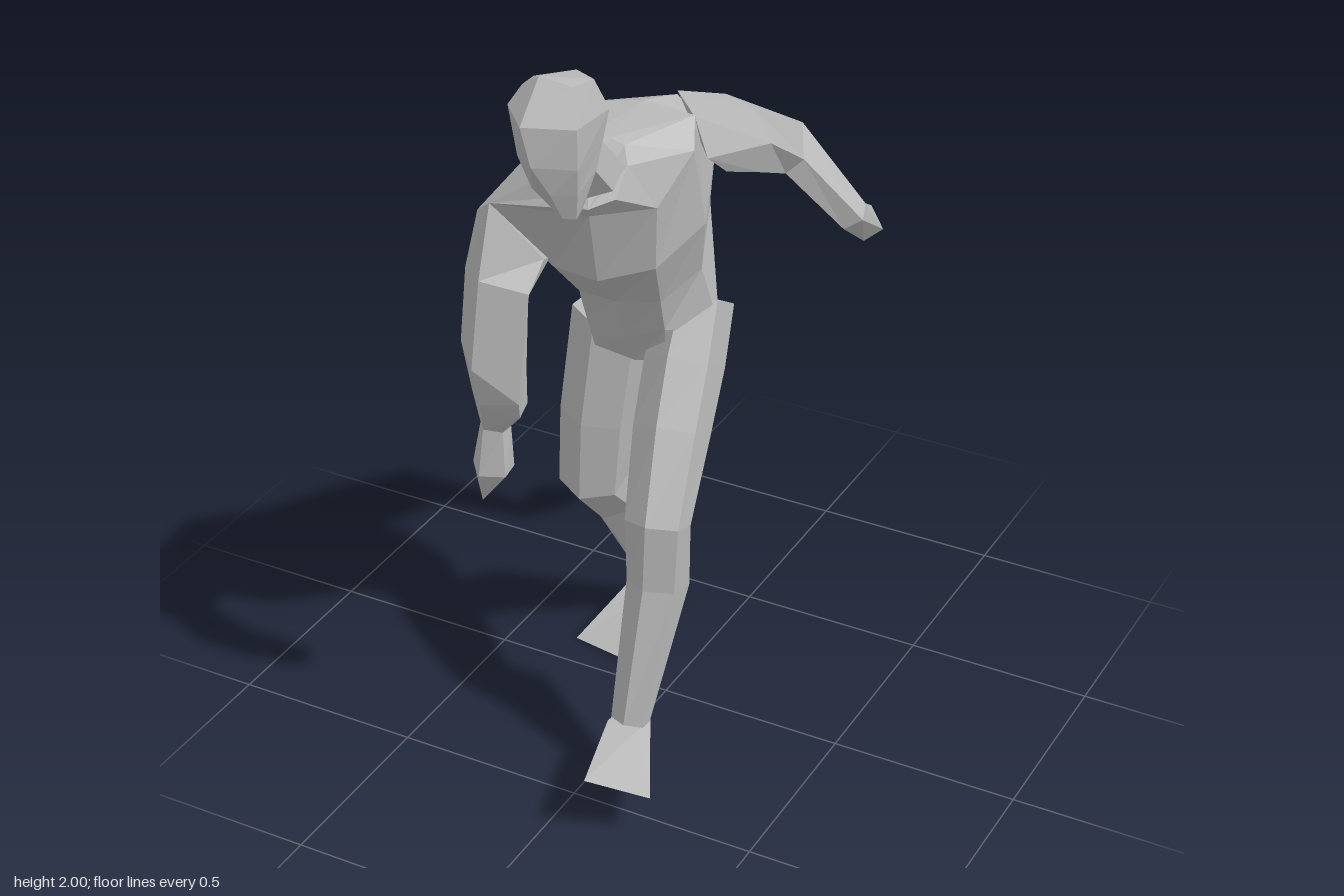
import * as THREE from 'three';

const skin = new THREE.MeshStandardMaterial({ color: 0xb8b8b8, flatShading: true });
skin.name = 'plain grey';

// Skin a stack of equal-sized rings, closing both ends.
function loft(name, rings) {
  const n = rings[0].length, pos = [];
  const tri = (a, b, c) => pos.push(...a, ...b, ...c);
  for (let r = 0; r < rings.length - 1; r++) {
    const a = rings[r], b = rings[r + 1];
    for (let i = 0; i < n; i++) {
      const j = (i + 1) % n;
      tri(a[i], a[j], b[j]);
      tri(a[i], b[j], b[i]);
    }
  }
  const first = rings[0], last = rings[rings.length - 1];
  for (let i = 1; i < n - 1; i++) {
    tri(first[0], first[i + 1], first[i]);
    tri(last[0], last[i], last[i + 1]);
  }
  const geo = new THREE.BufferGeometry();
  geo.setAttribute('position', new THREE.Float32BufferAttribute(pos, 3));
  geo.computeVertexNormals();
  const mesh = new THREE.Mesh(geo, skin);
  mesh.name = name;
  return mesh;
}

// Hexagonal limb along joints [x, y, z, halfWidth, halfDepth], ridged front and back.
function limb(name, joints) {
  const at = joints.map(j => new THREE.Vector3(j[0], j[1], j[2]));
  return loft(name, joints.map(([, , , w, d], k) => {
    const t = at[Math.min(k + 1, at.length - 1)].clone().sub(at[Math.max(k - 1, 0)]).normalize();
    const u = new THREE.Vector3(1, 0, 0).addScaledVector(t, -t.x).normalize();
    const v = t.clone().cross(u);
    return Array.from({ length: 6 }, (_, i) => {
      const a = (i + 0.5) / 3 * Math.PI;
      return at[k].clone().addScaledVector(u, w * Math.cos(a)).addScaledVector(v, d * Math.sin(a)).toArray();
    });
  }));
}

// Ring shrunk to a point, for tips.
const tip = (n, ...p) => Array(n).fill(p);

export function createModel() {
  const group = new THREE.Group();
  group.name = 'walkingFigure';

  // Twisted, forward-leaning torso: rings run front centre, left, back, right.
  group.add(loft('torso', [
    [[-0.06, 1.03, 0.05], [0.03, 1.06, 0.06], [0.12, 1.08, -0.05], [0.04, 1.06, -0.14],
      [-0.06, 1.05, -0.15], [-0.14, 1.06, -0.15], [-0.24, 1.07, -0.05], [-0.17, 1.05, 0.06]],
    [[-0.06, 1.13, 0.11], [0.05, 1.17, 0.1], [0.14, 1.14, -0.02], [0.01, 1.15, -0.165],
      [-0.1, 1.13, -0.2], [-0.19, 1.14, -0.18], [-0.26, 1.12, -0.03], [-0.17, 1.15, 0.1]],
    [[-0.05, 1.26, 0.17], [0.06, 1.27, 0.14], [0.11, 1.32, 0.02], [0.05, 1.42, -0.14],
      [-0.05, 1.42, -0.15], [-0.17, 1.4, -0.1], [-0.24, 1.3, 0.05], [-0.16, 1.25, 0.15]],
    [[-0.02, 1.39, 0.31], [0.1, 1.42, 0.24], [0.15, 1.48, 0.08], [0.1, 1.62, -0.07],
      [0, 1.73, -0.06], [-0.18, 1.6, 0.02], [-0.29, 1.45, 0.18], [-0.14, 1.4, 0.31]],
    [[0, 1.6, 0.38], [0.12, 1.6, 0.27], [0.15, 1.7, 0.14], [0.12, 1.76, 0.08],
      [-0.02, 1.765, 0.07], [-0.17, 1.75, 0.13], [-0.335, 1.515, 0.33], [-0.24, 1.6, 0.43]],
    [[0.02, 1.64, 0.42], [0.07, 1.66, 0.38], [0.07, 1.72, 0.32], [0.04, 1.75, 0.28],
      [0, 1.76, 0.28], [-0.05, 1.76, 0.3], [-0.08, 1.7, 0.35], [-0.06, 1.65, 0.41]],
  ]));

  // Neck and head, rings run front, left, back, right from chin to crown
  group.add(limb('neck', [
    [0, 1.7, 0.355, 0.08, 0.07],
    [-0.015, 1.8, 0.43, 0.068, 0.065],
  ]));
  group.add(loft('head', [
    [[0.01, 1.66, 0.52], [0.035, 1.655, 0.5], [0.035, 1.67, 0.47],
      [0.01, 1.68, 0.46], [-0.03, 1.68, 0.47], [-0.03, 1.67, 0.5]],
    [[0, 1.73, 0.555], [0.05, 1.73, 0.52], [0.055, 1.76, 0.44],
      [0, 1.74, 0.42], [-0.07, 1.75, 0.44], [-0.07, 1.72, 0.52]],
    [[-0.03, 1.81, 0.59], [0.06, 1.8, 0.535], [0.06, 1.82, 0.42],
      [-0.02, 1.79, 0.365], [-0.11, 1.82, 0.42], [-0.1, 1.8, 0.53]],
    [[-0.05, 1.91, 0.6], [0.06, 1.9, 0.535], [0.068, 1.9, 0.4],
      [-0.035, 1.9, 0.355], [-0.13, 1.88, 0.42], [-0.125, 1.92, 0.525]],
    [[-0.05, 2, 0.51], [0.03, 1.985, 0.5], [0.04, 1.975, 0.42],
      [-0.03, 1.965, 0.375], [-0.11, 1.955, 0.43], [-0.1, 1.965, 0.5]],
  ]));

  // Left arm swings back: rings run inner top, outer top, outer, bottom, inner bottom
  group.add(loft('leftArm', [
    [[0, 1.74, -0.06], [0.12, 1.755, 0.08], [0.16, 1.66, 0.09], [0.15, 1.57, -0.03], [0.06, 1.58, -0.08]],
    [[0.04, 1.665, -0.24], [0.14, 1.655, -0.21], [0.185, 1.58, -0.2], [0.16, 1.5, -0.19], [0.07, 1.53, -0.22]],
    [[0.08, 1.54, -0.435], [0.17, 1.545, -0.41], [0.2, 1.47, -0.36], [0.16, 1.43, -0.34], [0.11, 1.45, -0.37]],
    [[0.27, 1.3, -0.475], [0.33, 1.335, -0.455], [0.335, 1.3, -0.43], [0.29, 1.27, -0.415], [0.25, 1.28, -0.44]],
    [[0.23, 1.26, -0.575], [0.3, 1.275, -0.56], [0.34, 1.22, -0.55], [0.3, 1.19, -0.52], [0.235, 1.22, -0.54]],
    tip(5, 0.28, 1.18, -0.64),
  ]));

  // Right arm hangs forward: rings run front, outer, back, inner back, inner front
  group.add(loft('rightArm', [
    [[-0.24, 1.6, 0.43], [-0.335, 1.515, 0.33], [-0.27, 1.44, 0.25], [-0.15, 1.42, 0.31], [-0.13, 1.45, 0.37]],
    [[-0.24, 1.42, 0.49], [-0.325, 1.4, 0.41], [-0.24, 1.4, 0.385], [-0.15, 1.4, 0.41], [-0.12, 1.4, 0.46]],
    [[-0.24, 1.2, 0.535], [-0.32, 1.22, 0.45], [-0.25, 1.2, 0.42], [-0.15, 1.18, 0.43], [-0.12, 1.13, 0.52]],
    [[-0.23, 1.1, 0.52], [-0.28, 1.1, 0.47], [-0.23, 1.09, 0.42], [-0.15, 1.08, 0.43], [-0.13, 1.08, 0.5]],
    [[-0.26, 0.99, 0.46], [-0.285, 0.99, 0.43], [-0.25, 0.99, 0.4], [-0.21, 0.99, 0.41], [-0.21, 0.99, 0.45]],
    [[-0.26, 0.87, 0.487], [-0.31, 0.87, 0.43], [-0.27, 0.87, 0.39], [-0.21, 0.87, 0.4], [-0.2, 0.87, 0.46]],
    tip(5, -0.28, 0.77, 0.44),
  ]));

  // Left leg strides forward, right leg pushes off behind
  group.add(limb('leftLeg', [
    [0.06, 1.19, -0.06, 0.088, 0.105],
    [0.065, 1.05, 0.02, 0.1, 0.11],
    [0.08, 0.9, 0.12, 0.098, 0.098],
    [0.108, 0.71, 0.248, 0.086, 0.07],
    [0.105, 0.53, 0.24, 0.078, 0.085],
    [0.088, 0.165, 0.363, 0.052, 0.036],
  ]));
  group.add(limb('rightLeg', [
    [-0.175, 1.1, -0.05, 0.105, 0.11],
    [-0.21, 0.8, -0.03, 0.102, 0.098],
    [-0.226, 0.6, -0.028, 0.095, 0.088],
    [-0.215, 0.505, -0.135, 0.085, 0.098],
    [-0.2, 0.11, -0.335, 0.054, 0.036],
  ]));

  // Feet: sole quad rising to the ankle quad
  group.add(loft('leftFoot', [
    [[0.26, 0.13, 0.575], [0.1, 0.035, 0.35], [0.02, 0.06, 0.36], [0.11, 0.175, 0.64]],
    [[0.13, 0.175, 0.39], [0.13, 0.17, 0.33], [0.045, 0.17, 0.34], [0.045, 0.18, 0.4]],
  ]));
  group.add(loft('rightFoot', [
    [[-0.155, 0.005, -0.065], [-0.145, 0.01, -0.375], [-0.235, 0, -0.385], [-0.33, 0, -0.1]],
    [[-0.157, 0.115, -0.3], [-0.157, 0.115, -0.362], [-0.245, 0.115, -0.366], [-0.25, 0.12, -0.31]],
  ]));

  return group;
}
